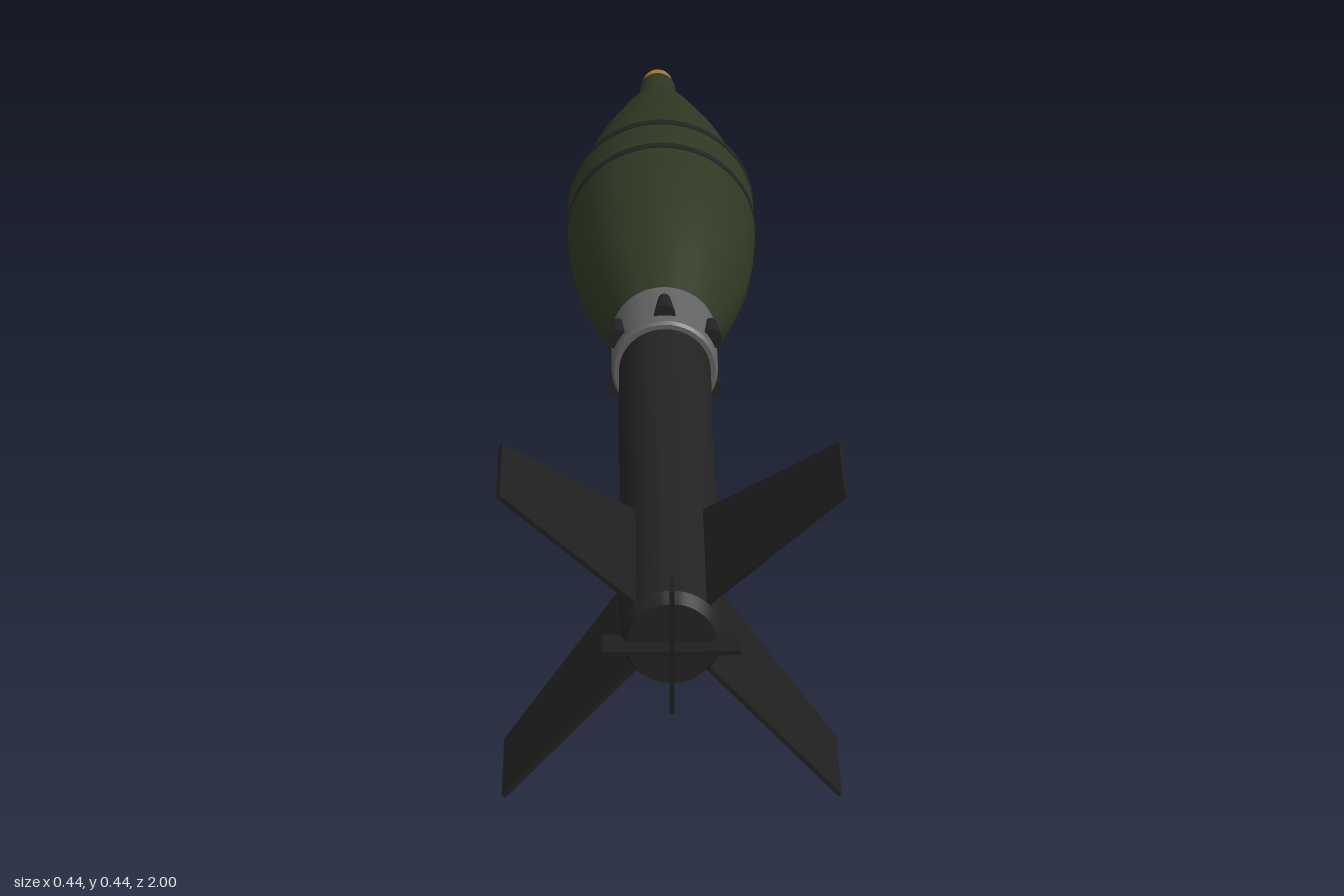
import * as THREE from 'three';
import { toCreasedNormals } from 'three/addons/utils/BufferGeometryUtils.js';

const mat = (name, color) => {
  const m = new THREE.MeshStandardMaterial({ color });
  m.name = name;
  return m;
};

export function createModel() {
  const olive = mat('olive paint', 0x2f3823);
  const black = mat('black steel', 0x232324);
  const finBlack = mat('fin black', 0x1f1f20);
  const grey = mat('grey metal', 0x636364);
  const brass = mat('brass', 0xa67634);

  const model = new THREE.Group();
  model.name = 'finnedRound';
  // everything is built around the z axis, then lifted
  const AXIS_Y = 0.223;

  const add = (name, geometry, material, parent = model) => {
    const mesh = new THREE.Mesh(geometry, material);
    mesh.name = name;
    parent.add(mesh);
    return mesh;
  };
  // profile is a list of [z, radius], from nose to tail
  const turned = (name, profile, material) => {
    const pts = profile.map(([z, r]) => new THREE.Vector2(r, z));
    const geo = new THREE.LatheGeometry(pts, 48).rotateX(Math.PI / 2);
    return add(name, toCreasedNormals(geo, 0.4), material);
  };

  // nose
  turned('noseTip', [[-1, 0], [-1, 0.02], [-0.992, 0.025], [-0.965, 0.027], [-0.965, 0]], brass);
  turned('noseNeck', [[-0.968, 0], [-0.968, 0.028], [-0.962, 0.03], [-0.89, 0.03]], olive);

  // swollen body
  turned('body', [
    [-0.9, 0], [-0.9, 0.036], [-0.8, 0.065], [-0.65, 0.105], [-0.45, 0.147], [-0.35, 0.147],
    [-0.27, 0.143], [-0.19, 0.134], [-0.1, 0.115], [0.03, 0.078], [0.03, 0],
  ], olive);
  for (const z of [-0.45, -0.354]) {
    turned('bodyBand', [[z - 0.008, 0.14], [z - 0.008, 0.1485], [z + 0.008, 0.1485], [z + 0.008, 0.14]], black);
  }

  // collar with six nozzles
  turned('collar', [[0.028, 0], [0.028, 0.078], [0.15, 0.078], [0.155, 0.074], [0.155, 0]], grey);
  for (let i = 0; i < 6; i++) {
    const a = Math.PI / 6 + (i * Math.PI) / 3;
    const geo = new THREE.CylinderGeometry(0.016, 0.009, 0.055, 16).rotateX(Math.PI / 2);
    const nozzle = add('nozzle', geo, black);
    nozzle.position.set(Math.cos(a) * 0.079, Math.sin(a) * 0.079, 0.103);
  }

  // tail tube
  turned('tailTube', [[0.15, 0], [0.15, 0.067], [0.955, 0.067], [0.975, 0.058], [0.975, 0]], black);

  // four swept fins on the diagonals
  const outline = new THREE.Shape([
    [0.055, 0.69], [0.08, 0.702], [0.311, 0.84], [0.311, 0.987], [0.07, 0.955], [0.055, 0.955],
  ].map(([r, z]) => new THREE.Vector2(r, z)));
  const finGeo = new THREE.ExtrudeGeometry(outline, { depth: 0.006, bevelEnabled: false });
  finGeo.translate(0, 0, -0.003).rotateX(Math.PI / 2);
  for (let i = 0; i < 4; i++) {
    add('fin', finGeo, finBlack).rotation.z = Math.PI / 4 + (i * Math.PI) / 2;
  }

  // small crossed plates at the tail end
  for (const turn of [0, Math.PI / 2]) {
    const plate = add('tailCross', new THREE.BoxGeometry(0.178, 0.006, 0.045), finBlack);
    plate.position.z = 0.9775;
    plate.rotation.z = turn;
  }

  model.children.forEach((part) => { part.position.y += AXIS_Y; });
  return model;
}
